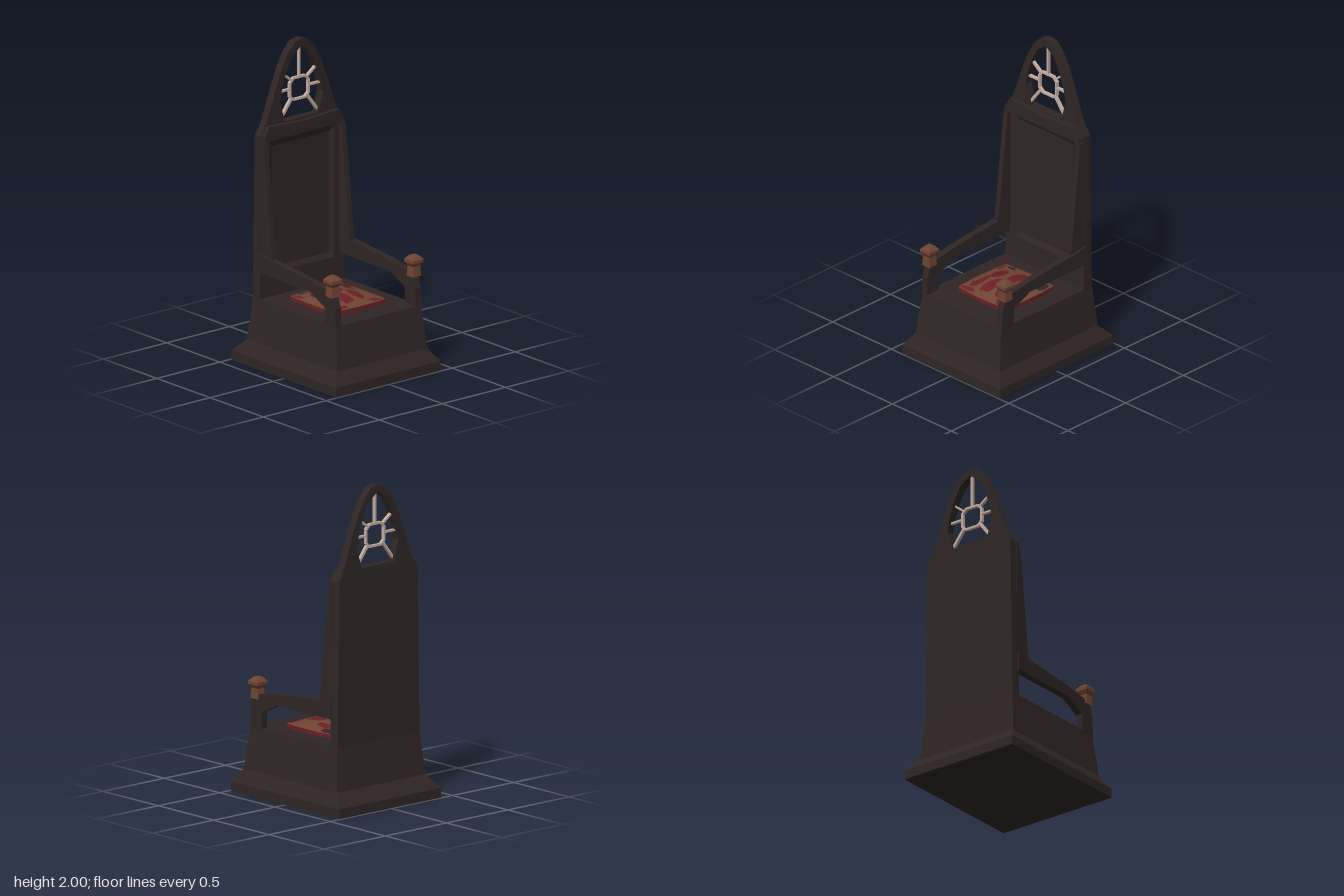
import * as THREE from 'three';

const wood = new THREE.MeshStandardMaterial({ color: 0x302525 });
const bronze = new THREE.MeshStandardMaterial({ color: 0x6f4432 });
const stone = new THREE.MeshStandardMaterial({ color: 0xc4aca0 });
const red = new THREE.MeshStandardMaterial({ color: 0x6a2023 });
wood.name = 'dark wood';
bronze.name = 'brown';
stone.name = 'pale stone';
red.name = 'deep red';

export function createModel() {
  const model = new THREE.Group();
  model.name = 'throne';
  const add = (name, geometry, material) => {
    const mesh = new THREE.Mesh(geometry, material);
    mesh.name = name;
    model.add(mesh);
    return mesh;
  };

  // Flat-shaded skin over rings of points, with optional end caps
  const loft = (rings, capStart, capEnd) => {
    const out = [];
    const quad = (a, b, c, d) => out.push(...a, ...b, ...c, ...a, ...c, ...d);
    for (let r = 0; r < rings.length - 1; r++) {
      for (let i = 0; i < 4; i++) {
        const j = (i + 1) % 4;
        quad(rings[r][i], rings[r][j], rings[r + 1][j], rings[r + 1][i]);
      }
    }
    if (capStart) quad(...[...rings[0]].reverse());
    if (capEnd) quad(...rings[rings.length - 1]);
    const g = new THREE.BufferGeometry();
    g.setAttribute('position', new THREE.Float32BufferAttribute(out, 3));
    g.computeVertexNormals();
    return g;
  };

  const shapeOf = (pts) => new THREE.Shape(pts.map((p) => new THREE.Vector2(...p)));
  // Mirrors a half outline (bottom to top) into a full closed one
  const mirrored = (half) => [...half, ...half.filter((p) => p[0] > 0).reverse().map(([z, y]) => [-z, y])];
  const extrude = (shape, depth) => new THREE.ExtrudeGeometry(shape, { depth, bevelEnabled: false });
  // Plate drawn in z and y, running from x0 to x1
  const plate = (shape, x0, x1) => extrude(shape, x1 - x0).rotateY(Math.PI / 2).translate(x0, 0, 0);

  // Stepped pedestal
  const level = (x0, x1, z, y) => [[x1, y, z], [x1, y, -z], [x0, y, -z], [x0, y, z]];
  add('pedestal', loft([
    level(-0.49, 0.49, 0.415, 0), level(-0.49, 0.49, 0.415, 0.06),
    level(-0.41, 0.435, 0.36, 0.14), level(-0.385, 0.4, 0.335, 0.41),
  ], true, true), wood);

  // Tall back with a sunken panel
  const outline = [[0.335, 0.405], [0.32, 1.44], [0.278, 1.5], [0, 1.485]];
  add('backBoard', plate(shapeOf(mirrored(outline)), -0.385, -0.345), wood);
  const frame = shapeOf(mirrored(outline));
  frame.holes.push(new THREE.Path(mirrored([[0.258, 0.56], [0.258, 1.4]]).map((p) => new THREE.Vector2(...p))));
  add('backFrame', plate(frame, -0.345, -0.318), wood);
  const panelRing = (x, z, y0, y1) => [[x, y0, z], [x, y0, -z], [x, y1, -z], [x, y1, z]];
  add('backPanel', loft([
    panelRing(-0.318, 0.258, 0.56, 1.4), panelRing(-0.338, 0.226, 0.59, 1.36),
  ], false, true), wood);
  add('topRail', plate(shapeOf(mirrored([[0.315, 1.41], [0.315, 1.44], [0.278, 1.5], [0, 1.485]])), -0.32, -0.295), wood);

  // Pointed arch with its opening
  const arch = shapeOf(mirrored([
    [0.318, 1.44], [0.27, 1.535], [0.205, 1.715], [0.155, 1.84], [0.105, 1.93], [0.055, 1.985], [0, 2],
  ]));
  arch.holes.push(new THREE.Path(mirrored([
    [0.132, 1.5], [0.17, 1.63], [0.152, 1.72], [0.115, 1.82], [0.07, 1.905], [0, 1.955],
  ]).map((p) => new THREE.Vector2(...p))));
  add('arch', plate(arch, -0.378, -0.325), wood);

  // Window tracery
  const bar = (z0, y0, z1, y1, w) => {
    const dz = z1 - z0, dy = y1 - y0;
    const mesh = add('traceryBar', new THREE.BoxGeometry(0.02, Math.hypot(dz, dy) + 0.008, w), stone);
    mesh.position.set(-0.35, (y0 + y1) / 2, (z0 + z1) / 2);
    mesh.rotation.x = Math.atan2(dz, dy);
  };
  const ring = [[0.045, 1.615], [0.073, 1.64], [0.073, 1.725], [0.045, 1.752]];
  const loop = mirrored(ring);
  loop.forEach((p, i) => bar(...p, ...loop[(i + 1) % loop.length], 0.014));
  bar(0, 1.752, 0, 1.96, 0.014);
  for (const s of [-1, 1]) {
    bar(s * 0.073, 1.687, s * 0.165, 1.687, 0.013);
    bar(s * 0.062, 1.625, s * 0.15, 1.51, 0.017);
    bar(s * 0.06, 1.742, s * 0.13, 1.795, 0.013);
  }

  // Wings, arms and finials on both sides
  const wing = shapeOf([[-0.33, 0.66], [-0.22, 0.66], [-0.215, 0.7], [-0.295, 1.41], [-0.33, 1.41]]);
  const arm = shapeOf([
    [-0.33, 0.58], [0.156, 0.577], [0.294, 0.513], [0.3, 0.4], [0.4, 0.4], [0.395, 0.52],
    [0.375, 0.59], [0.32, 0.62], [0.15, 0.648], [-0.215, 0.683], [-0.33, 0.7],
  ]);
  const finialProfile = [
    [0, 0.59], [0.032, 0.59], [0.027, 0.655], [0.042, 0.678], [0.042, 0.697], [0.02, 0.722], [0, 0.727],
  ].map(([r, y]) => new THREE.Vector2(r * Math.SQRT2, y));
  for (const s of [-1, 1]) {
    add('backWing', extrude(wing, 0.033).translate(0, 0, s * 0.309 - 0.0165), wood);
    add('armrest', extrude(arm, 0.046).translate(0, 0, s * 0.318 - 0.023), wood);
    const finial = new THREE.LatheGeometry(finialProfile, 4, Math.PI / 4).toNonIndexed();
    finial.computeVertexNormals();
    add('finial', finial.translate(0.351, 0, s * 0.322), bronze);
  }

  // Domed cushion
  const cx = 0.018, hx = 0.207, hz = 0.202;
  const dome = (x, z) => {
    const u = (x - cx) / hx, v = z / hz;
    return 0.435 + 0.04 * Math.max(0, 1 - u * u) * Math.max(0, 1 - v * v);
  };
  const cushion = new THREE.BoxGeometry(2, 1, 2, 10, 1, 10);
  const p = cushion.attributes.position;
  for (let i = 0; i < p.count; i++) {
    const u = p.getX(i), v = p.getZ(i);
    const x = cx + u * hx, z = v * hz;
    const y = p.getY(i) > 0 ? dome(x, z) : 0.408;
    p.setXYZ(i, x + 0.012 * u * (1 - v * v), y, z + 0.012 * v * (1 - u * u));
  }
  cushion.computeVertexNormals();
  add('cushion', cushion, [red, red, bronze, red, red, red]);

  // Woven patches lying on the cushion: x, z, half length, half width
  const patch = (name, material, x, z, rx, rz) => {
    const g = new THREE.RingGeometry(0.001, 1, 20, 4).rotateX(-Math.PI / 2);
    const q = g.attributes.position;
    for (let i = 0; i < q.count; i++) {
      const px = x + q.getX(i) * rx, pz = z + q.getZ(i) * rz;
      q.setXYZ(i, px, dome(px, pz) + 0.002, pz);
    }
    g.computeVertexNormals();
    add(name, g, material);
  };
  for (const b of [
    [-0.045, -0.131, 0.065, 0.025], [-0.058, -0.021, 0.088, 0.043], [0.097, -0.07, 0.08, 0.035],
    [0.12, 0.035, 0.095, 0.042], [-0.035, 0.105, 0.068, 0.045], [0.095, 0.142, 0.085, 0.035],
    [0.205, -0.12, 0.02, 0.07], [0.205, 0.14, 0.018, 0.06], [0, 0.187, 0.12, 0.014], [-0.13, 0.185, 0.05, 0.014],
  ]) patch('redPatch', red, ...b);
  for (const b of [[-0.12, -0.175, 0.05, 0.026], [-0.165, 0.1, 0.022, 0.06], [-0.16, -0.06, 0.02, 0.06]]) {
    patch('darkPatch', wood, ...b);
  }
  return model;
}
